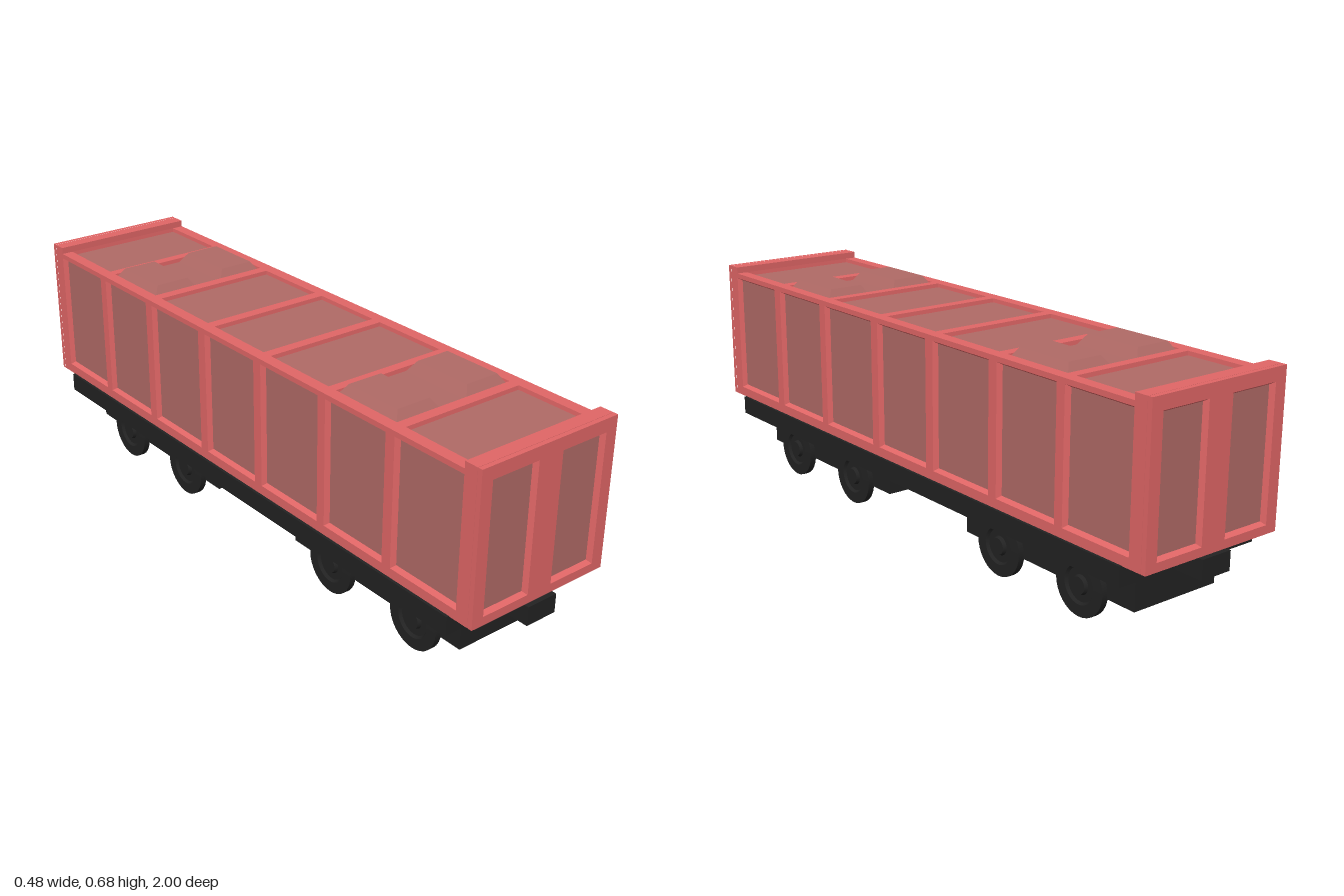
import * as THREE from 'three';

const red = new THREE.MeshStandardMaterial({ color: 0xe06666 });
const dusky = new THREE.MeshStandardMaterial({ color: 0xb06a66 });
const black = new THREE.MeshStandardMaterial({ color: 0x222222 });

function add(parent, name, geometry, material, x = 0, y = 0, z = 0) {
  const mesh = new THREE.Mesh(geometry, material);
  mesh.name = name;
  mesh.position.set(x, y, z);
  parent.add(mesh);
  return mesh;
}

// Box given by its limits
function box(parent, name, material, x0, x1, y0, y1, z0, z1) {
  return add(parent, name, new THREE.BoxGeometry(x1 - x0, y1 - y0, z1 - z0), material,
    (x0 + x1) / 2, (y0 + y1) / 2, (z0 + z1) / 2);
}

const corners = ([x0, x1, y0, y1], inset = 0) => [
  [x0 + inset, y0 + inset], [x1 - inset, y0 + inset],
  [x1 - inset, y1 - inset], [x0 + inset, y1 - inset]];

// Flat wall facing +z with sunk panels: rect and holes are [x0, x1, y0, y1]
function panelledWall(name, rect, holes, depth, bevel) {
  const group = new THREE.Group();
  group.name = name;
  const vec = pts => pts.map(p => new THREE.Vector2(...p));
  const shape = new THREE.Shape(vec(corners(rect)));
  holes.forEach(h => shape.holes.push(new THREE.Path(vec(corners(h)).reverse())));
  const pos = [...new THREE.ShapeGeometry(shape).toNonIndexed().attributes.position.array];
  const quad = (a, b, c, d) => pos.push(...a, ...b, ...c, ...a, ...c, ...d);

  // Outer skirt, then the sloped rims of the panels
  const rim = corners(rect);
  rim.forEach((a, i) => {
    const b = rim[(i + 1) % 4];
    quad([...a, 0], [...a, -depth], [...b, -depth], [...b, 0]);
  });
  holes.forEach(h => {
    const outer = corners(h), inner = corners(h, bevel);
    outer.forEach((a, i) => {
      const j = (i + 1) % 4;
      quad([...a, 0], [...outer[j], 0], [...inner[j], -depth], [...inner[i], -depth]);
    });
    const [x0, x1, y0, y1] = h;
    add(group, 'sunkPanel', new THREE.PlaneGeometry(x1 - x0 - 2 * bevel, y1 - y0 - 2 * bevel),
      dusky, (x0 + x1) / 2, (y0 + y1) / 2, -depth);
  });
  const geo = new THREE.BufferGeometry();
  geo.setAttribute('position', new THREE.Float32BufferAttribute(pos, 3));
  geo.computeVertexNormals();
  add(group, 'frame', geo, red);
  return group;
}

// Box whose top is drawn in on all sides
function hatchGeometry(w, h, d, inset) {
  const geo = new THREE.BoxGeometry(w, h, d).toNonIndexed();
  const p = geo.attributes.position;
  for (let i = 0; i < p.count; i++) {
    if (p.getY(i) < 0) continue;
    p.setX(i, p.getX(i) - Math.sign(p.getX(i)) * inset);
    p.setZ(i, p.getZ(i) - Math.sign(p.getZ(i)) * inset);
  }
  geo.computeVertexNormals();
  return geo;
}

export function createModel() {
  const model = new THREE.Group();
  model.name = 'boxWagon';

  const W = 0.232, floorY = 0.236, roofY = 0.655, capY = 0.675;
  const capZ = 0.935, endZ = 0.986, depth = 0.014, roofDepth = 0.012;
  const bays = [[-0.93, -0.692], [-0.662, -0.43], [-0.397, -0.153], [-0.12, 0.113],
    [0.145, 0.393], [0.423, 0.657], [0.69, 0.93]];

  // Body core behind the sunk panels
  const body = new THREE.Group();
  body.name = 'body';
  model.add(body);
  const cw = W - depth - 0.002;
  box(body, 'bodyCore', red, -cw, cw, floorY, roofY - roofDepth - 0.002, -capZ, capZ);

  // Side walls
  for (const s of [1, -1]) {
    const holes = bays.map(([a, b]) => s > 0 ? [-b, -a, 0.265, 0.64] : [a, b, 0.265, 0.64]);
    const side = panelledWall(s > 0 ? 'leftWall' : 'rightWall',
      [-capZ, capZ, floorY, roofY], holes, depth, 0.008);
    side.rotation.y = s * Math.PI / 2;
    side.position.x = s * W;
    body.add(side);
  }

  // Roof
  const roof = panelledWall('roof', [-W, W, -capZ, capZ],
    bays.map(([a, b]) => [-0.196, 0.196, -b, -a]), roofDepth, 0.001);
  roof.rotation.x = -Math.PI / 2;
  roof.position.y = roofY;
  body.add(roof);

  // Paired roof hatches in the second and sixth bays
  const hatchBase = roofY - roofDepth;
  const hatch = hatchGeometry(0.152, capY - hatchBase, 0.23, 0.022);
  for (const [a, b] of [bays[1], bays[5]])
    for (const s of [1, -1])
      add(body, 'roofHatch', hatch, dusky, s * 0.119, (hatchBase + capY) / 2, (a + b) / 2);

  // Raised end walls with two tall panels each
  for (const s of [1, -1]) {
    const end = new THREE.Group();
    end.name = s > 0 ? 'frontEnd' : 'backEnd';
    const face = panelledWall('endWall', [-W, W, floorY, capY],
      [[-0.195, -0.041, 0.261, 0.637], [0.041, 0.195, 0.261, 0.637]], depth, 0.008);
    face.position.z = endZ;
    end.add(face);
    box(end, 'endCore', red, -W, W, floorY, capY, capZ - 0.005, endZ - depth - 0.001);
    if (s < 0) end.rotation.y = Math.PI;
    body.add(end);
  }

  // Underframe and end couplers
  box(model, 'underframe', black, -0.24, 0.24, 0.18, 0.237, -0.908, 0.908);
  for (const s of [1, -1])
    box(model, 'coupler', black, -0.05, 0.05, 0.18, 0.2355, Math.min(s * 0.9, s), Math.max(s * 0.9, s));

  // Bogies
  box(model, 'frontBogie', black, -0.145, 0.145, 0.075, 0.185, 0.19, 0.867);
  box(model, 'backBogie', black, -0.145, 0.145, 0.075, 0.185, -0.87, -0.195);

  // Wheels: rim, sunk web and raised hub
  const profile = [[0, 0], [0.088, 0], [0.088, 0], [0.088, 0.02], [0.088, 0.02], [0.054, 0.021], [0.054, 0.021],
    [0.048, 0.013], [0.048, 0.013], [0.028, 0.013], [0.028, 0.013], [0.024, 0.023], [0.024, 0.023], [0, 0.023]];
  const wheel = new THREE.LatheGeometry(profile.map(p => new THREE.Vector2(...p)), 32);
  for (const z of [0.708, 0.367, -0.357, -0.685])
    for (const s of [1, -1]) {
      const m = add(model, 'wheel', wheel, black, s * 0.142, 0.088, z);
      m.rotation.z = -s * Math.PI / 2;
    }

  return model;
}
